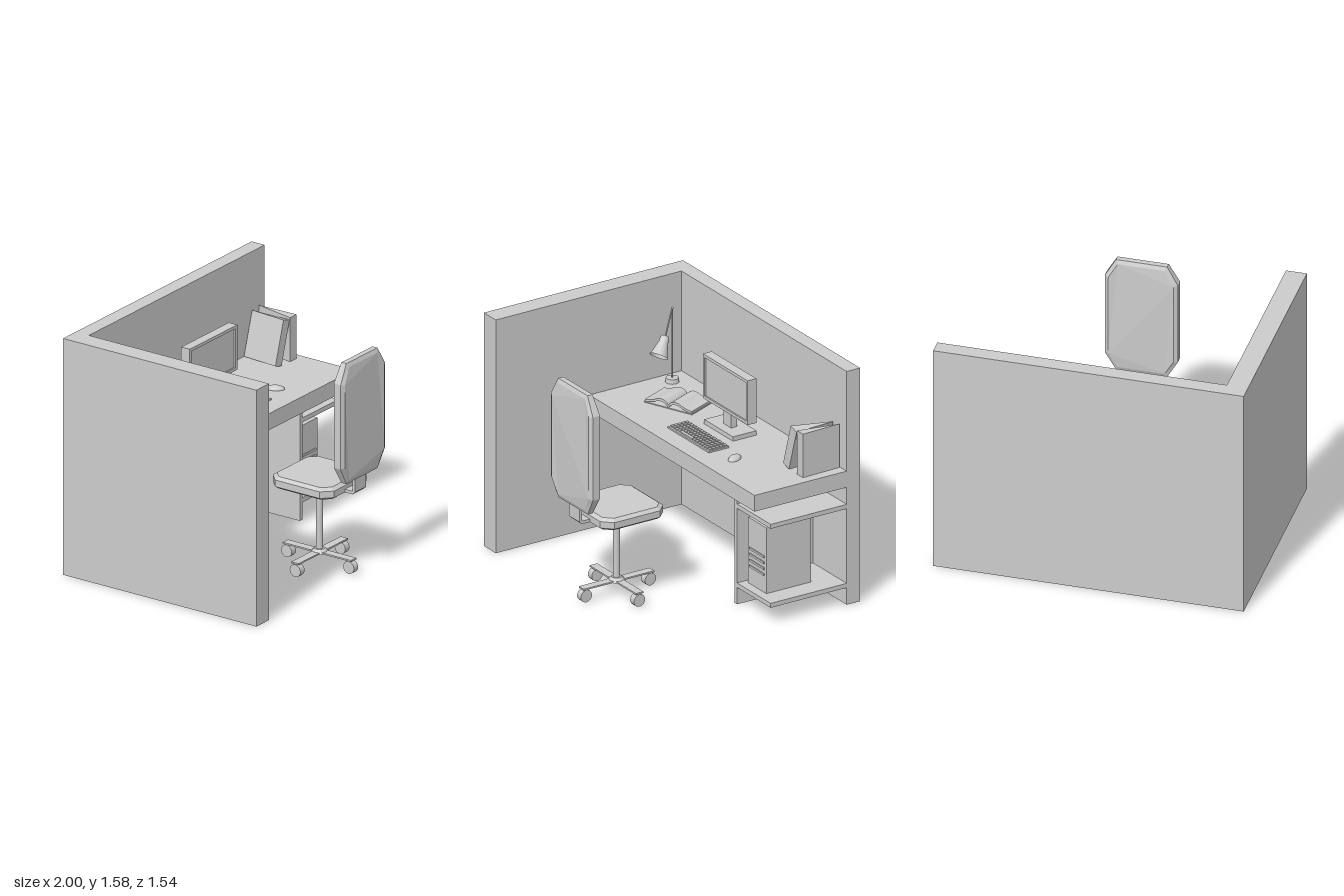
import * as THREE from 'three';
import { mergeGeometries } from 'three/addons/utils/BufferGeometryUtils.js';

const grey = new THREE.MeshStandardMaterial({ color: 0xcccccc });
const flat = new THREE.MeshStandardMaterial({ color: 0xcccccc, flatShading: true });
const thin = new THREE.MeshStandardMaterial({ color: 0xcccccc, side: THREE.DoubleSide });

function add(parent, name, geometry, material = grey) {
  const mesh = new THREE.Mesh(geometry, material);
  mesh.name = name;
  parent.add(mesh);
  return mesh;
}

function group(parent, name) {
  const g = new THREE.Group();
  g.name = name;
  parent.add(g);
  return g;
}

// Box geometry given by its limits on each axis
function span(x0, x1, y0, y1, z0, z1) {
  return new THREE.BoxGeometry(x1 - x0, y1 - y0, z1 - z0)
    .translate((x0 + x1) / 2, (y0 + y1) / 2, (z0 + z1) / 2);
}

const polygon = (pts) => new THREE.Shape(pts.map(([x, y]) => new THREE.Vector2(x, y)));

// Cushion: rectangle with cut corners and bevelled faces, centred, thickness along z
function cushion(w, h, t, cutX, cutY, bevel, bevelDepth) {
  const a = w / 2, b = h / 2;
  const shape = polygon([
    [-a + cutX, -b], [a - cutX, -b], [a, -b + cutY], [a, b - cutY],
    [a - cutX, b], [-a + cutX, b], [-a, b - cutY], [-a, -b + cutY]]);
  return new THREE.ExtrudeGeometry(shape, {
    depth: t - 2 * bevelDepth, bevelThickness: bevelDepth,
    bevelSize: bevel, bevelOffset: -bevel, bevelSegments: 1,
  }).translate(0, 0, -t / 2 + bevelDepth);
}

// Round bar between two points
function rod(from, to, radius) {
  return new THREE.TubeGeometry(new THREE.LineCurve3(from, to), 1, radius, 8);
}

function buildCubicle(root) {
  const g = group(root, 'cubicle');
  add(g, 'backWall', span(-1, 1, 0, 1.58, -0.77, -0.67));
  add(g, 'sideWall', span(-1, -0.865, 0, 1.58, -0.67, 0.71));
  add(g, 'desktop', span(-0.865, 1, 0.795, 0.905, -0.67, 0.015));
  add(g, 'cabinetSide', span(0.59, 0.62, 0, 0.795, -0.67, -0.105));
  for (const y of [0.115, 0.65]) add(g, 'shelf', span(0.62, 1, y, y + 0.03, -0.67, -0.105));
}

function buildComputer(root) {
  const g = group(root, 'computer');
  add(g, 'towerCase', span(0.655, 0.86, 0.145, 0.59, -0.495, -0.165));
  for (let i = 0; i < 4; i++) {
    const y = 0.26 + i * 0.04;
    add(g, 'towerSlot', span(0.675, 0.84, y, y + 0.014, -0.165, -0.158));
  }
  // Monitor: body, raised frame around the screen, neck and foot
  add(g, 'monitorBody', span(-0.19, 0.315, 1.035, 1.335, -0.45, -0.395));
  const frame = polygon([[-0.19, 1.035], [0.315, 1.035], [0.315, 1.335], [-0.19, 1.335]]);
  frame.holes.push(polygon([[-0.17, 1.055], [-0.17, 1.315], [0.295, 1.315], [0.295, 1.055]]));
  add(g, 'monitorFrame', new THREE.ExtrudeGeometry(frame, { depth: 0.01, bevelEnabled: false })
    .translate(0, 0, -0.395));
  add(g, 'monitorNeck', span(0.02, 0.105, 0.935, 1.035, -0.445, -0.4));
  add(g, 'monitorFoot', span(-0.1, 0.225, 0.905, 0.935, -0.51, -0.335));

  // Keyboard with rows of keys
  add(g, 'keyboardBase', span(-0.17, 0.295, 0.905, 0.915, -0.26, -0.11));
  const keys = [];
  for (let r = 0; r < 5; r++) {
    for (let c = 0; c < 16; c++) {
      if (r === 4 && c > 4 && c < 9) continue;
      const x = -0.163 + c * 0.0283, z = -0.253 + r * 0.0275;
      keys.push(span(x, x + (r === 4 && c === 4 ? 0.135 : 0.022), 0.915, 0.924, z, z + 0.021));
    }
  }
  add(g, 'keys', mergeGeometries(keys));

  const mouse = add(g, 'mouse', new THREE.SphereGeometry(1, 24, 8, 0, Math.PI * 2, 0, Math.PI / 2));
  mouse.scale.set(0.035, 0.025, 0.058);
  mouse.rotation.y = 0.5;
  mouse.position.set(0.457, 0.905, -0.195);
}

function buildBooks(root) {
  const g = group(root, 'books');
  // Binders, thick at the spine and tapering to the back
  const wedge = new THREE.ExtrudeGeometry(
    polygon([[-0.068, 0], [0, 0], [-0.01, 0.28]]), { depth: 0.295, bevelEnabled: false })
    .rotateX(-Math.PI / 2);
  add(g, 'uprightBinder', wedge).position.set(0.94, 0.907, -0.384);
  const leaning = add(g, 'leaningBinder', wedge);
  leaning.position.set(0.782, 0.907, -0.384);
  leaning.rotation.z = -0.295;

  // Open book: two mirrored page blocks arching out of the spine
  const book = group(g, 'openBook');
  book.position.set(-0.465, 0.905, -0.38);
  book.rotation.y = 0.4;
  add(book, 'cover', span(-0.18, 0.18, 0, 0.006, -0.112, 0.112));
  for (const s of [-1, 1]) {
    const page = new THREE.Shape();
    page.moveTo(0, 0.006);
    page.lineTo(0, 0.022);
    page.bezierCurveTo(s * 0.02, 0.055, s * 0.06, 0.06, s * 0.09, 0.042);
    page.quadraticCurveTo(s * 0.13, 0.024, s * 0.175, 0.02);
    page.lineTo(s * 0.175, 0.006);
    page.quadraticCurveTo(s * 0.13, 0.01, s * 0.09, 0.026);
    page.bezierCurveTo(s * 0.06, 0.042, s * 0.025, 0.035, 0, 0.006);
    add(book, 'pages', new THREE.ExtrudeGeometry(page, { depth: 0.216, bevelEnabled: false, curveSegments: 6 })
      .translate(0, 0, -0.108));
  }
}

function buildLamp(root) {
  const g = group(root, 'lamp');
  const top = new THREE.Vector3(-0.757, 1.405, -0.53);
  const neck = new THREE.Vector3(-0.697, 1.255, -0.44);
  const rim = new THREE.Vector3(-0.66, 1.15, -0.365);
  add(g, 'lampBase', new THREE.CylinderGeometry(0.04, 0.044, 0.028, 24)).position.set(top.x, 0.919, top.z);
  add(g, 'lampPole', rod(new THREE.Vector3(top.x, 0.92, top.z), top, 0.005));
  add(g, 'lampJoint', new THREE.SphereGeometry(0.008, 10, 8)).position.copy(top);
  add(g, 'lampArm', rod(top, neck, 0.005));
  const axis = rim.clone().sub(neck);
  const h = axis.length();
  const profile = [[0, 0], [0.025, 0], [0.03, 0.12], [0.03, 0.3], [0.036, 0.45], [0.05, 0.85], [0.06, 1]]
    .map(([r, t]) => new THREE.Vector2(r, t * h));
  const shade = add(g, 'lampShade', new THREE.LatheGeometry(profile, 24), thin);
  shade.position.copy(neck);
  shade.quaternion.setFromUnitVectors(new THREE.Vector3(0, 1, 0), axis.normalize());
  add(g, 'bulb', new THREE.SphereGeometry(0.025, 14, 10)).position.lerpVectors(neck, rim, 0.65);
}

function buildChair(root) {
  const g = group(root, 'chair');
  g.position.set(0.065, 0, 0.425);
  add(g, 'seat', cushion(0.47, 0.47, 0.08, 0.065, 0.065, 0.025, 0.018).rotateX(-Math.PI / 2), flat)
    .position.y = 0.582;

  // Backrest thins towards its top and bottom
  const back = cushion(0.47, 0.805, 0.082, 0.07, 0.12, 0.025, 0.015);
  const p = back.attributes.position;
  for (let i = 0; i < p.count; i++) {
    if (Math.abs(p.getY(i)) > 0.34) p.setZ(i, p.getZ(i) * 0.72);
  }
  add(g, 'backrest', back, flat).position.set(0, 1.0725, 0.305);

  // Bent bracket joining seat and backrest
  const bracket = polygon([
    [0.2, 0.56], [0.295, 0.56], [0.314, 0.578], [0.314, 0.7],
    [0.295, 0.7], [0.295, 0.585], [0.288, 0.58], [0.2, 0.58]]);
  add(g, 'backBracket', new THREE.ExtrudeGeometry(bracket, { depth: 0.115, bevelEnabled: false })
    .rotateY(-Math.PI / 2).translate(0.0575, 0, 0));

  add(g, 'gasLift', new THREE.CylinderGeometry(0.022, 0.022, 0.45, 12)).position.y = 0.325;
  add(g, 'hub', new THREE.CylinderGeometry(0.035, 0.06, 0.025, 8), flat).position.y = 0.104;
  for (let i = 0; i < 4; i++) {
    const a = i * Math.PI / 2;
    add(g, 'leg', span(0, 0.262, 0.09, 0.1, -0.028, 0.028)).rotation.y = a;
    const wheel = add(g, 'caster', new THREE.CylinderGeometry(0.041, 0.041, 0.044, 20));
    wheel.rotation.z = Math.PI / 2;
    wheel.position.set(Math.cos(a) * 0.238, 0.045, -Math.sin(a) * 0.238);
  }
}

export function createModel() {
  const root = new THREE.Group();
  root.name = 'officeCubicle';
  buildCubicle(root);
  buildComputer(root);
  buildBooks(root);
  buildLamp(root);
  buildChair(root);
  return root;
}
